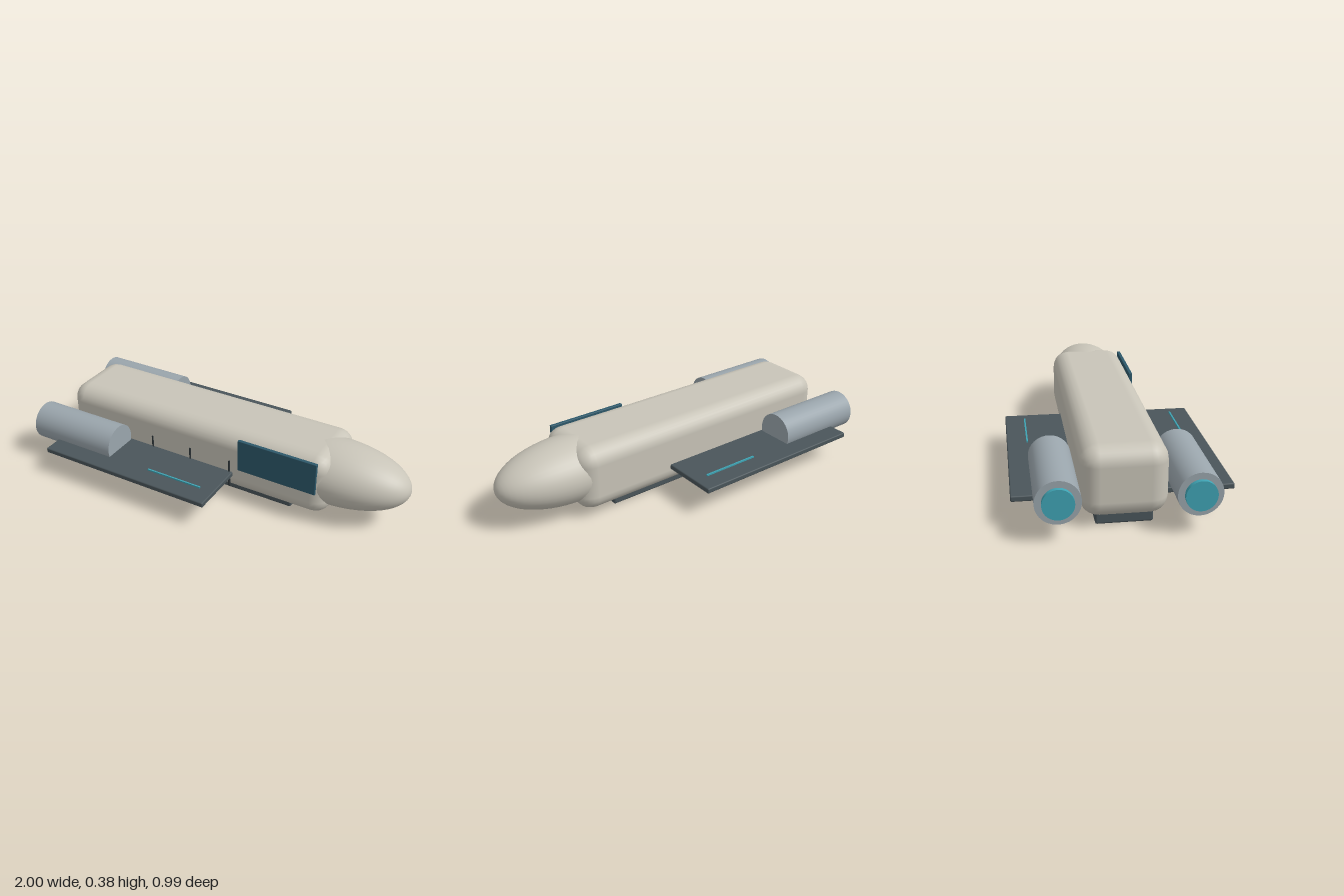
import * as THREE from 'three';
import { RoundedBoxGeometry } from 'three/addons/geometries/RoundedBoxGeometry.js';

const mat = (name, color) => {
  const m = new THREE.MeshStandardMaterial({ color });
  m.name = name;
  return m;
};

export function createModel() {
  const group = new THREE.Group();
  const hull = mat('warm grey hull', 0xc8c4b8);
  const slate = mat('dark slate', 0x4a555a);
  const steel = mat('engine steel', 0x9aa5ac);
  const glow = mat('teal glow', 0x3fa3b3);
  const glass = mat('dark teal panel', 0x2d586a);
  const seam = mat('seam line', 0x30383b);

  const add = (name, geometry, material, x, y, z) => {
    const mesh = new THREE.Mesh(geometry, material);
    mesh.name = name;
    mesh.position.set(x, y, z);
    group.add(mesh);
    return mesh;
  };
  // Box given by its limits, with optional rounded edges
  const block = (name, material, [x0, x1], [y0, y1], [z0, z1], radius = 0, segments = 2) => {
    const size = [x1 - x0, y1 - y0, z1 - z0];
    const geometry = radius
      ? new RoundedBoxGeometry(...size, segments, radius)
      : new THREE.BoxGeometry(...size);
    return add(name, geometry, material, (x0 + x1) / 2, (y0 + y1) / 2, (z0 + z1) / 2);
  };
  // Cylinder lying along x
  const tube = (name, material, radius, x0, x1, y, z) => {
    const geometry = new THREE.CylinderGeometry(radius, radius, x1 - x0, 40).rotateZ(Math.PI / 2);
    return add(name, geometry, material, (x0 + x1) / 2, y, z);
  };

  // Fuselage, nose and keel
  block('fuselage', hull, [-0.89, 0.645], [0.04, 0.375], [-0.197, 0.197], 0.085, 3);
  const noseShape = new THREE.SphereGeometry(1, 40, 28).rotateZ(-Math.PI / 2).scale(0.39, 0.162, 0.19);
  add('nose', noseShape, hull, 0.61, 0.216, 0);
  block('keel', slate, [-0.84, 0.435], [0, 0.06], [-0.13, 0.13], 0.01);

  // Wings, light strips and engines on both sides
  for (const side of [1, -1]) {
    const span = (a, b) => (side > 0 ? [a, b] : [-b, -a]);
    block('wing', slate, [-0.832, 0.134], [0.13, 0.157], span(0.15, 0.495), 0.006);
    block('wingLightStrip', glow, [-0.25, 0.06], [0.155, 0.165], span(0.39, 0.398));
    tube('engine', steel, 0.1, -0.98, -0.49, 0.19, side * 0.302);
    tube('engineGlow', glow, 0.07, -1, -0.97, 0.19, side * 0.302);
  }

  // Door panel and hull seams on the front side
  block('doorPanel', glass, [0.165, 0.59], [0.183, 0.36], [0.185, 0.203], 0.003);
  for (let i = 0; i < 4; i++) {
    const x = -0.582 + i * 0.2325;
    block('hullSeam', seam, [x - 0.004, x + 0.004], [0.067, 0.222], [0.194, 0.202]);
  }
  return group;
}
